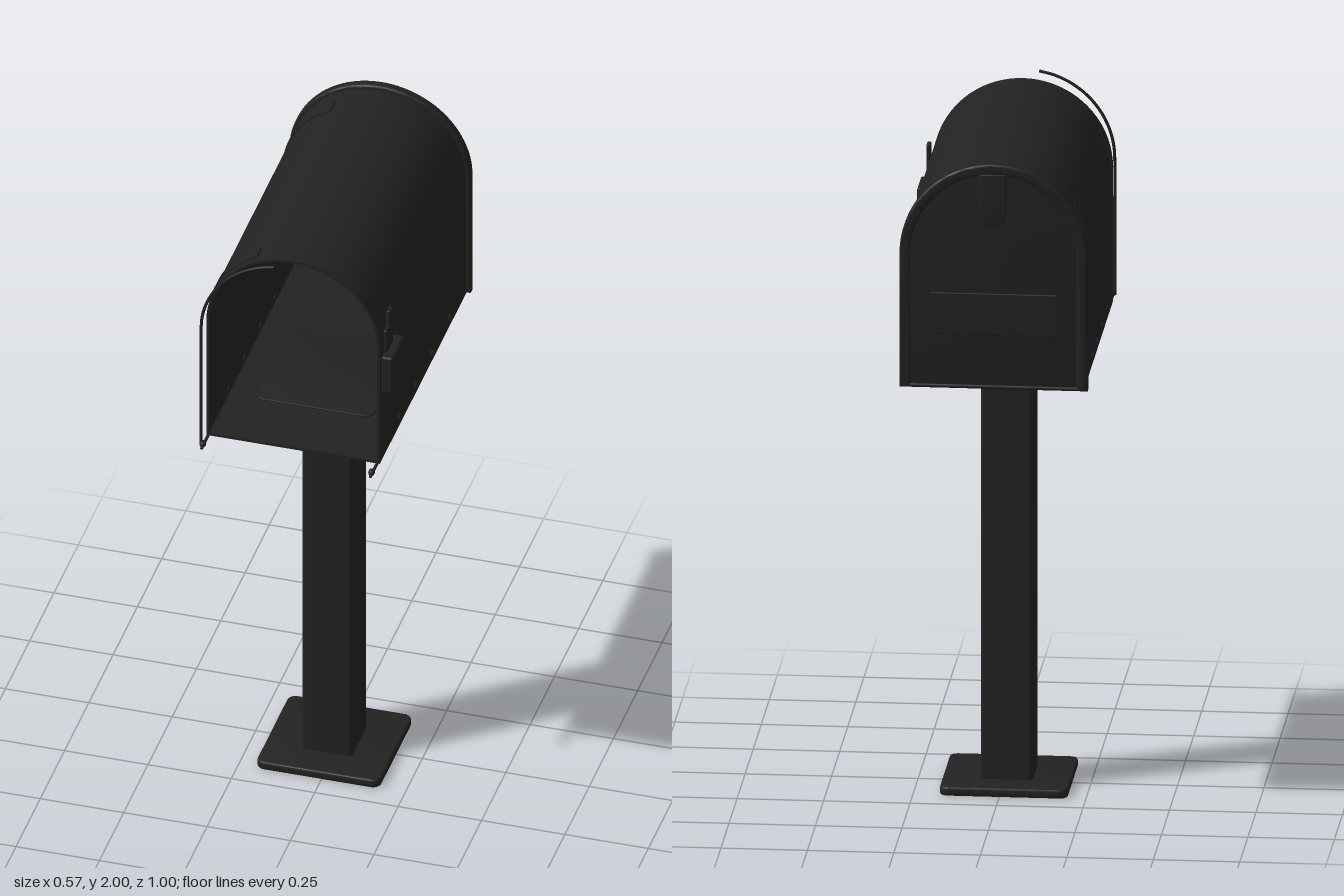
import * as THREE from 'three';
import { RoundedBoxGeometry } from 'three/addons/geometries/RoundedBoxGeometry.js';
import { toCreasedNormals } from 'three/addons/utils/BufferGeometryUtils.js';

const CX = -0.014; // centre line of the box and post
const SPRING = 1.725; // height where the arch begins

// Arched outline: straight sides, flat bottom, round top
function arch(r, bottom, Path = THREE.Shape) {
  const p = new Path();
  p.moveTo(CX - r, bottom);
  p.lineTo(CX + r, bottom);
  p.lineTo(CX + r, SPRING);
  p.absarc(CX, SPRING, r, 0, Math.PI, false);
  p.closePath();
  return p;
}

function roundedRect(w, h, r) {
  const s = new THREE.Shape(), x = w / 2, y = h / 2;
  s.absarc(x - r, y - r, r, 0, Math.PI / 2);
  s.absarc(-x + r, y - r, r, Math.PI / 2, Math.PI);
  s.absarc(-x + r, -y + r, r, Math.PI, Math.PI * 1.5);
  s.absarc(x - r, -y + r, r, Math.PI * 1.5, Math.PI * 2);
  s.closePath();
  return s;
}

function extrude(shape, z0, z1, bevel = 0) {
  const g = new THREE.ExtrudeGeometry(shape, {
    depth: z1 - z0 - 2 * bevel, curveSegments: 28, bevelEnabled: bevel > 0,
    bevelSize: bevel, bevelOffset: -bevel, bevelThickness: bevel, bevelSegments: 3,
  });
  g.translate(0, 0, z0 + bevel);
  return toCreasedNormals(g, 0.6);
}

export function createModel() {
  const model = new THREE.Group();
  model.name = 'mailbox';
  const black = new THREE.MeshStandardMaterial({ color: 0x222222 });
  black.name = 'black paint';

  const add = (name, geometry, x = 0, y = 0, z = 0) => {
    const m = new THREE.Mesh(geometry, black);
    m.name = name;
    m.position.set(x, y, z);
    model.add(m);
    return m;
  };
  const box = (name, x0, x1, y0, y1, z0, z1, r = 0.004) => add(name,
    new RoundedBoxGeometry(x1 - x0, y1 - y0, z1 - z0, 2, r),
    (x0 + x1) / 2, (y0 + y1) / 2, (z0 + z1) / 2);
  const flatPlate = (name, x0, x1, y0, y1, z0, z1, r) => {
    const g = extrude(roundedRect(x1 - x0, z1 - z0, r), 0, y1 - y0, Math.min(0.005, (y1 - y0) / 3));
    g.rotateX(-Math.PI / 2);
    return add(name, g, (x0 + x1) / 2, y0, (z0 + z1) / 2);
  };

  // Ground plate, post and mounting plates
  flatPlate('groundPlate', -0.197, 0.173, 0, 0.026, -0.168, 0.182, 0.025);
  box('post', -0.088, 0.063, 0.015, 1.315, -0.072, 0.083, 0.012);
  flatPlate('mountPlate', -0.205, 0.181, 1.306, 1.325, -0.163, 0.238, 0.03);
  flatPlate('innerFloorPlate', -0.19, 0.165, 1.325, 1.336, -0.15, 0.225, 0.03);

  // Open-fronted shell
  const shell = arch(0.26, 1.323);
  shell.holes.push(arch(0.252, 1.331, THREE.Path));
  add('shell', extrude(shell, -0.48, 0.425));

  // Rear door with its rolled rim
  add('rearDoor', extrude(arch(0.262, 1.323), -0.491, -0.475, 0.003));
  const rim = arch(0.272, 1.323);
  rim.holes.push(arch(0.24, 1.335, THREE.Path));
  const rimGeo = extrude(rim, -0.495, -0.465, 0.006);
  add('rearRim', rimGeo);

  // Pressed panel and latch tab, on both faces of the rear door
  const tab = new THREE.Shape();
  tab.moveTo(-0.039, 0.12);
  tab.lineTo(-0.039, 0);
  tab.absarc(0, 0, 0.039, Math.PI, Math.PI * 2);
  tab.lineTo(0.039, 0.12);
  tab.closePath();
  for (const [side, z] of [['Outer', -0.4955], ['Inner', -0.4765]]) {
    box('doorPanel' + side, -0.198, 0.17, 1.485, 1.61, z, z + 0.007, 0.003);
    add('latchTab' + side, extrude(tab, z - 0.0045, z + 0.008, 0.003), -0.012, 1.848, 0);
  }

  // Rivets along the lower edges
  const rivetGeo = new THREE.SphereGeometry(0.013, 12, 8);
  for (const z of [-0.29, -0.103, 0.067, 0.228]) add('rivetLeft', rivetGeo, 0.243, 1.355, z);
  for (const z of [-0.243, -0.097, 0.067, 0.228]) add('rivetRight', rivetGeo, -0.271, 1.355, z);

  // Curved brackets hugging the roof near both ends
  const strap = (a0, a1, z0, z1) => {
    const s = new THREE.Shape();
    s.absarc(CX, SPRING, 0.264, a0, a1, false);
    s.absarc(CX, SPRING, 0.257, a1, a0, true);
    s.closePath();
    add('roofBracket', extrude(s, z0, z1));
  };
  for (const z of [-0.383, 0.38]) {
    strap(2.03, 2.22, z - 0.03, z + 0.025);
    strap(2.2, 2.65, z - 0.005, z + 0.022);
    strap(2.62, 3.1, z - 0.025, z + 0.012);
  }

  // Signal flag
  box('flagBlock', 0.245, 0.28, 1.562, 1.688, 0.284, 0.411, 0.007);
  box('flagArm', 0.243, 0.255, 1.67, 1.76, 0.316, 0.381, 0.004);
  box('flagTip', 0.243, 0.256, 1.74, 1.81, 0.318, 0.352, 0.004);
  box('flagInnerPlate', 0.232, 0.242, 1.57, 1.68, 0.3, 0.36, 0.003);

  // Hinge strips and pins at the open end
  for (const x of [-0.268, 0.238]) {
    box('hingeStrip', x - 0.004, x + 0.004, 1.32, 1.328, 0.41, 0.497, 0.002);
    const pin = add('hingePin', new THREE.SphereGeometry(0.012, 12, 8), x, 1.331, 0.482);
    pin.scale.set(0.8, 0.9, 1);
  }

  // Slender partial hoop in front of the opening
  const pts = [[-0.274, 1.325], [-0.274, 1.45], [-0.274, 1.6], [-0.274, 1.73]]
    .map(([x, y]) => new THREE.Vector3(x, y, 0.479));
  for (let i = 1; i <= 10; i++) {
    const a = Math.PI - i * 0.141;
    pts.push(new THREE.Vector3(CX + 0.26 * Math.cos(a), 1.735 + 0.26 * Math.sin(a), 0.479));
  }
  add('frontHoop', new THREE.TubeGeometry(new THREE.CatmullRomCurve3(pts), 60, 0.0045, 8));

  return model;
}
